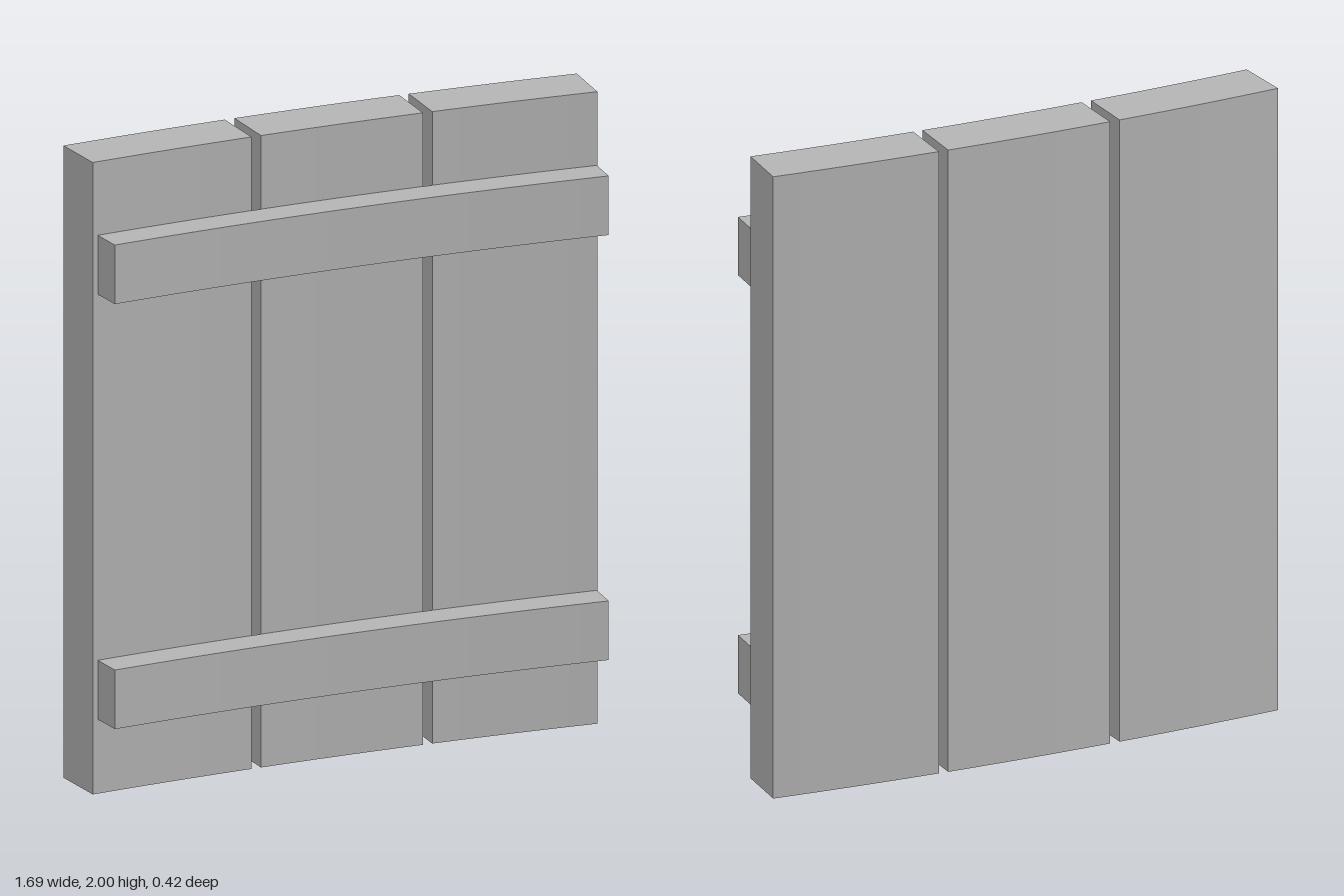
import * as THREE from 'three';

// All parts follow concentric arcs around one distant vertical axis
const CX = 0.842, CZ = 10.49;
const R_BACK = 10.7, R_FACE = 10.515, R_RAIL = 10.408;
const SEGMENTS = 6;

// Angle on an arc of the given radius at a given x
const angleAt = (x, radius) => Math.asin((x - CX) / radius);

// Curved bar: an arc-shaped footprint raised from y0 to y1
function arcBar(rBack, rFront, a0, a1, y0, y1, segments) {
  const points = [];
  const add = (r, a) => points.push(new THREE.Vector2(CX + r * Math.sin(a), -(CZ - r * Math.cos(a))));
  for (let i = 0; i <= segments; i++) add(rFront, a0 + (a1 - a0) * i / segments);
  for (let i = segments; i >= 0; i--) add(rBack, a0 + (a1 - a0) * i / segments);
  const geometry = new THREE.ExtrudeGeometry(new THREE.Shape(points), { depth: y1 - y0, bevelEnabled: false });
  geometry.rotateX(-Math.PI / 2);
  geometry.translate(0, y0, 0);
  return geometry;
}

export function createModel() {
  const group = new THREE.Group();
  const grey = new THREE.MeshStandardMaterial({ color: 0xb4b4b4 });
  grey.name = 'plainGrey';

  const addPart = (name, geometry) => {
    const mesh = new THREE.Mesh(geometry, grey);
    mesh.name = name;
    group.add(mesh);
  };

  // Three upright planks with narrow radial gaps
  const planks = [['rightPlank', -0.844, -0.303], ['middlePlank', -0.271, 0.27], ['leftPlank', 0.301, 0.842]];
  for (const [name, x0, x1] of planks) {
    addPart(name, arcBar(R_BACK, R_FACE, angleAt(x0, R_BACK), angleAt(x1, R_BACK), 0, 2, SEGMENTS));
  }

  // Two cross rails on the front of the planks
  for (const [name, y0] of [['lowerRail', 0.235], ['upperRail', 1.58]]) {
    addPart(name, arcBar(R_FACE, R_RAIL, angleAt(-0.798, R_FACE), angleAt(0.84, R_FACE), y0, y0 + 0.187, SEGMENTS * 3));
  }
  return group;
}
